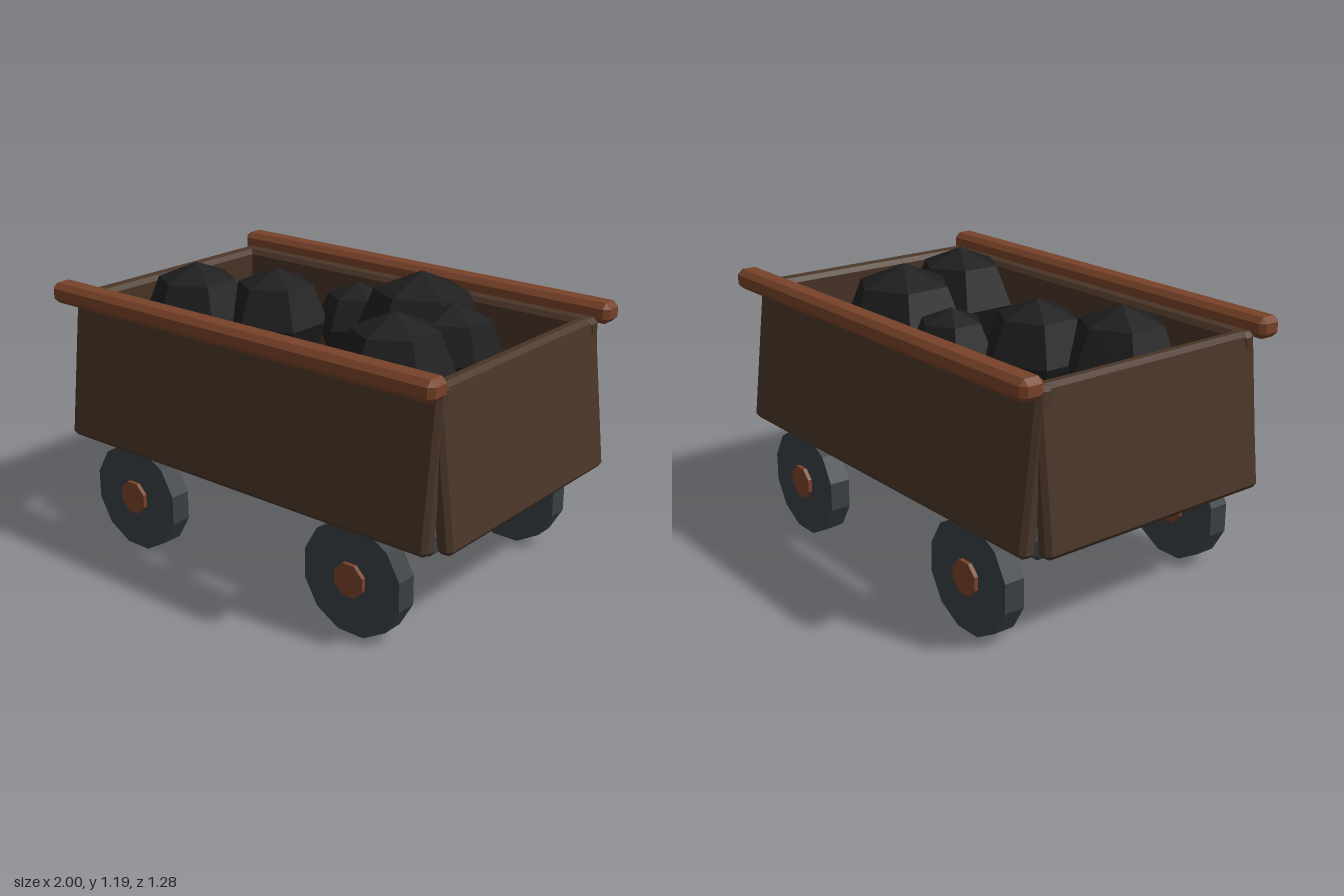
import * as THREE from 'three';
import { ConvexGeometry } from 'three/addons/geometries/ConvexGeometry.js';

const paint = (color) => new THREE.MeshStandardMaterial({ color, flatShading: true });

// Box with chamfered edges: three corner points at each of the eight corners
function chamferBox(w, h, d, c) {
  const pts = [];
  for (const sx of [-1, 1]) for (const sy of [-1, 1]) for (const sz of [-1, 1]) {
    const x = w / 2, y = h / 2, z = d / 2;
    pts.push(
      new THREE.Vector3(sx * x, sy * (y - c), sz * (z - c)),
      new THREE.Vector3(sx * (x - c), sy * y, sz * (z - c)),
      new THREE.Vector3(sx * (x - c), sy * (y - c), sz * z));
  }
  return new ConvexGeometry(pts);
}

export function createModel() {
  const model = new THREE.Group();
  model.name = 'coalCart';
  const wood = paint(0x4a3628);
  const trim = paint(0x784229);
  const metal = paint(0x393f43);
  const coal = paint(0x1e1e1e);

  const add = (name, geometry, material, x, y, z) => {
    const mesh = new THREE.Mesh(geometry, material);
    mesh.name = name;
    mesh.position.set(x, y, z);
    model.add(mesh);
    return mesh;
  };

  // Floor slab
  add('floor', chamferBox(1.77, 0.1, 1.0, 0.02), metal, 0, 0.43, 0);

  // Four wall panels leaning inwards towards the top, and the two side rails
  const tilt = 0.12;
  const sideWall = chamferBox(1.87, 0.625, 0.07, 0.018);
  const endWall = chamferBox(0.07, 0.625, 1.08, 0.018);
  const rail = chamferBox(1.94, 0.085, 0.105, 0.022);
  for (const s of [1, -1]) {
    add(s > 0 ? 'frontWall' : 'backWall', sideWall, wood, 0, 0.745, s * 0.538).rotation.x = -s * tilt;
    add(s > 0 ? 'leftWall' : 'rightWall', endWall, wood, s * 0.928, 0.745, 0).rotation.z = s * tilt;
    add(s > 0 ? 'frontRail' : 'backRail', rail, trim, 0, 1.067, s * 0.586);
  }

  // Wheels with hubs
  const wheel = new THREE.CylinderGeometry(0.232, 0.232, 0.088, 12, 1, false, Math.PI / 12).rotateX(Math.PI / 2);
  const hub = new THREE.CylinderGeometry(0.072, 0.072, 0.122, 8, 1, false, Math.PI / 8).rotateX(Math.PI / 2);
  for (const x of [-0.582, 0.582]) for (const z of [-0.533, 0.533]) {
    add('wheel', wheel, metal, x, 0.23, z);
    add('hub', hub, trim, x, 0.233, z);
  }

  // Coal lumps: x, z, radius, height of the tip
  const lumps = [
    [-0.608, 0.145, 0.235, 1.16],
    [-0.316, -0.027, 0.225, 1.15],
    [-0.046, -0.24, 0.177, 1.09],
    [0.295, -0.225, 0.275, 1.2],
    [0.3, -0.18, 0.25, 1.07],
    [0.515, -0.14, 0.205, 1.125],
    [0.493, 0.215, 0.24, 1.17],
  ];
  for (const [x, z, r, top] of lumps) {
    add('coalLump', new THREE.SphereGeometry(r, 6, 4).rotateY(Math.PI / 6), coal, x, top - r, z);
  }

  return model;
}
